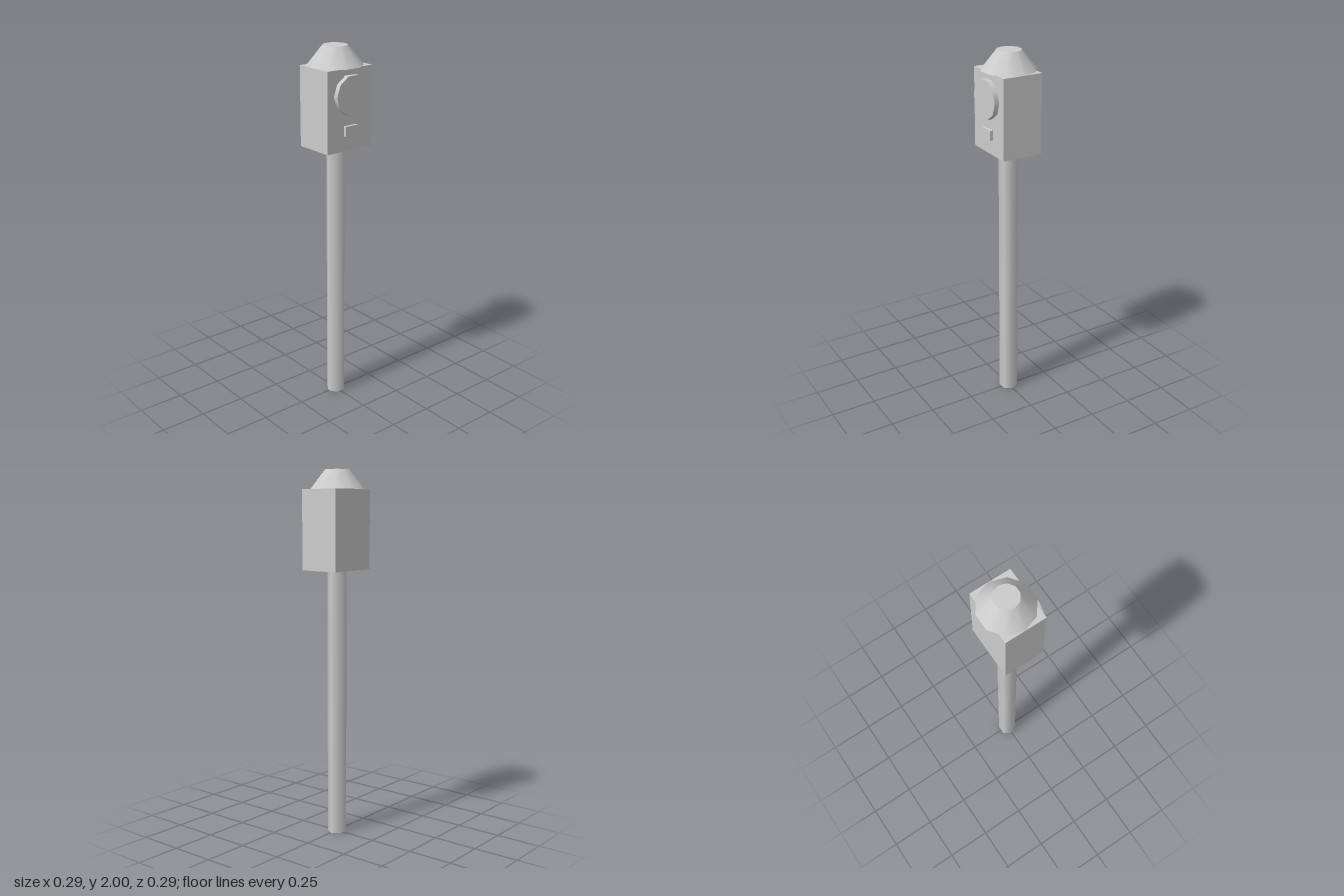
import * as THREE from 'three';

export function createModel() {
  const model = new THREE.Group();
  const grey = new THREE.MeshStandardMaterial({ color: 0xcccccc, side: THREE.DoubleSide });
  grey.name = 'light grey';

  const add = (name, geometry, x, y, z) => {
    const mesh = new THREE.Mesh(geometry, grey);
    mesh.name = name;
    mesh.position.set(x, y, z);
    model.add(mesh);
  };

  // Prism or cone frustum with corners on the x axis
  const prism = (top, bottom, height, sides, open) =>
    new THREE.CylinderGeometry(top, bottom, height, sides, 1, open).rotateY(Math.PI / 2);

  // Hollow six-sided pole
  add('pole', prism(0.052, 0.052, 1.47, 6, true), 0, 0.735, -0.002);

  // Housing, open underneath: drop the box's bottom face
  const housing = new THREE.BoxGeometry(0.294, 0.427, 0.225);
  const index = Array.from(housing.index.array);
  index.splice(18, 6);
  housing.setIndex(index);
  housing.clearGroups();
  add('housing', housing, 0, 1.6835, 0.0025);

  // Ten-sided roof with a flat top
  add('roof', prism(0.066, 0.147, 0.103, 10, true), 0, 1.9485, -0.005);
  add('roofTop', new THREE.CircleGeometry(0.066, 10).rotateX(-Math.PI / 2), 0, 2, -0.005);

  // Round dial and small button on the front
  add('dial', prism(0.106, 0.106, 0.027, 10, false).rotateX(Math.PI / 2), 0, 1.763, 0.1285);
  add('button', new THREE.BoxGeometry(0.08, 0.053, 0.018), 0, 1.578, 0.123);

  return model;
}
